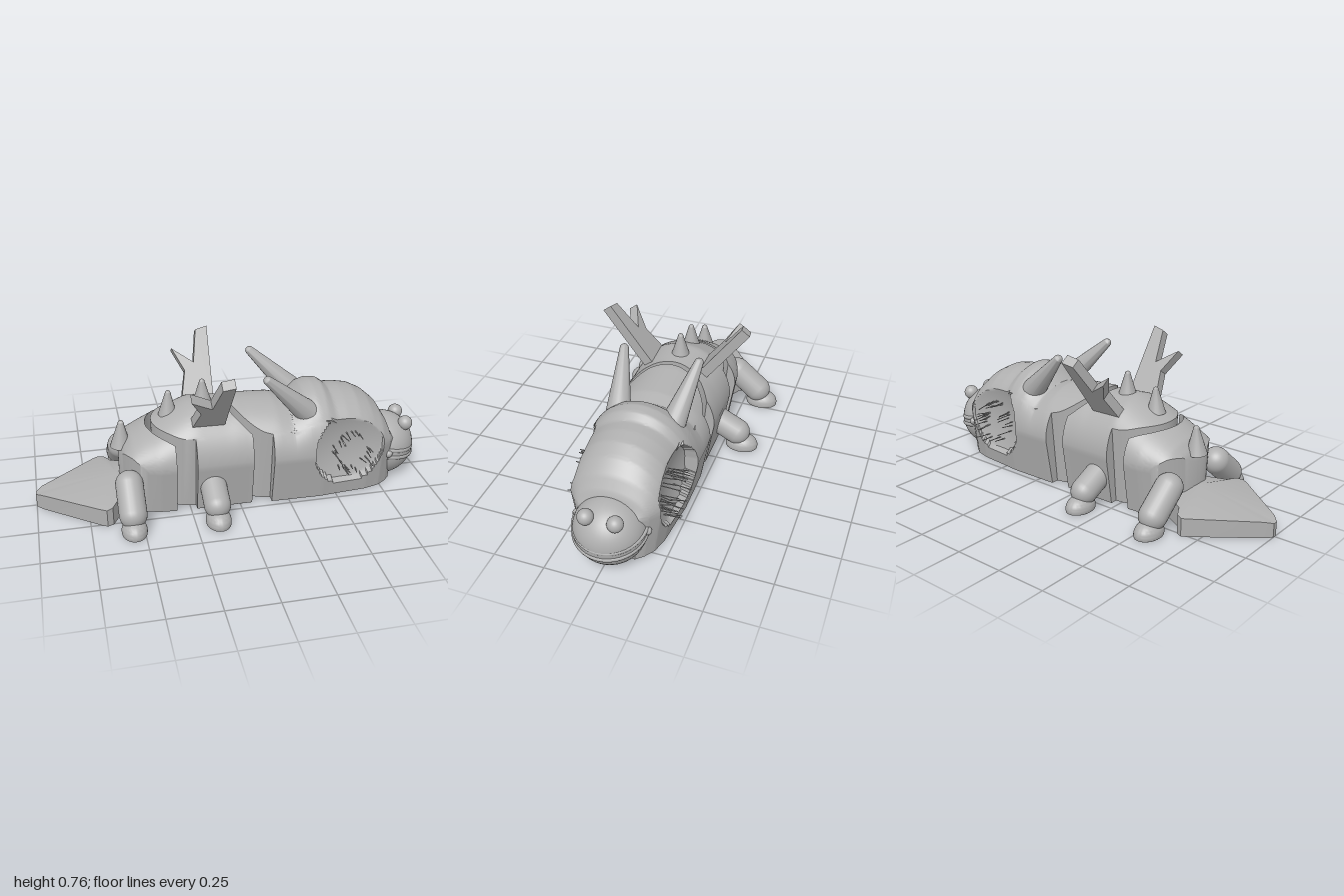
import * as THREE from 'three';
import { toCreasedNormals } from 'three/addons/utils/BufferGeometryUtils.js';

const BASE = 0.004, MID = 0.25, FOOT = 0.84;

// piecewise-linear profile lookup over [x, value] pairs
function lookup(pairs, x) {
  if (x <= pairs[0][0]) return pairs[0][1];
  for (let i = 1; i < pairs.length; i++) {
    const [xa, a] = pairs[i - 1], [xb, b] = pairs[i];
    if (x <= xb) return a + (b - a) * (x - xa) / (xb - xa);
  }
  return pairs[pairs.length - 1][1];
}

// body height and half width along the length
const TOP = [[-0.58, 0.26], [-0.56, 0.31], [-0.52, 0.355], [-0.47, 0.385], [-0.4, 0.42], [-0.34, 0.455],
  [-0.22, 0.51], [-0.06, 0.5], [0, 0.505], [0.2, 0.49], [0.27, 0.47], [0.31, 0.5], [0.35, 0.535], [0.4, 0.553],
  [0.45, 0.548], [0.49, 0.517], [0.55, 0.515], [0.62, 0.502], [0.69, 0.465], [0.75, 0.41], [0.79, 0.345], [0.82, 0.26]];
const WIDTH = [[-0.58, 0.18], [-0.5, 0.21], [-0.4, 0.24], [-0.3, 0.25], [0.05, 0.25], [0.18, 0.265], [0.42, 0.27],
  [0.5, 0.26], [0.66, 0.245], [0.74, 0.22], [0.79, 0.18], [0.82, 0.14]];

// drum-shaped rear end and matching hollow front end of a joint centred at c
const drumEnd = c => z => (z < 0.205 ? c - Math.sqrt(0.21 ** 2 - z * z) : c - 0.02);
const hollowEnd = c => z => Math.min(c - 0.12, c - Math.sqrt(Math.max(0, 0.24 ** 2 - z * z)));

// arched body section: loops over the back, closed by end walls and an underside
function bodySection(x0, x1, cols, scoop) {
  const rows = [], side = 14, arch = 64;
  for (let k = 0; k < side; k++) rows.push([1, k / side, 0]);
  for (let k = 0; k <= arch; k++) {
    const t = Math.PI * k / arch;
    rows.push([Math.cos(t), 1, Math.sin(t)]);
  }
  for (let k = side - 1; k >= 0; k--) rows.push([-1, k / side, 0]);

  const pos = [], index = [], n = cols + 4;
  for (const [u, low, up] of rows) {
    const nominal = Math.abs(u) * 0.25, a = x0(nominal), b = x1(nominal);
    const floor = x => [x, BASE, lookup(WIDTH, x) * u * FOOT];
    pos.push(...floor(a));
    for (let i = 0; i <= cols; i++) {
      const x = a + (b - a) * i / cols;
      const y = BASE + (MID - BASE) * low + (lookup(TOP, x) - MID) * up;
      let z = lookup(WIDTH, x) * u * (FOOT + (1 - FOOT) * low);
      if (scoop) {
        const d = Math.hypot(x - 0.555, y - 0.26) / 0.185;
        if (d < 1) z = Math.sign(z) * Math.min(Math.abs(z), 0.175 + 0.03 * d * d);
      }
      pos.push(x, y, z);
    }
    pos.push(...floor(b), ...floor(a));
  }
  for (let j = 0; j < rows.length - 1; j++) {
    for (let i = 0; i < n - 1; i++) {
      const p = j * n + i, q = p + n;
      index.push(p, p + 1, q, p + 1, q + 1, q);
    }
  }
  const g = new THREE.BufferGeometry();
  g.setAttribute('position', new THREE.Float32BufferAttribute(pos, 3));
  g.setIndex(index);
  return toCreasedNormals(g, 0.6);
}

// flat spade tail: outline wall with a roof rising to the body
function tailGeometry() {
  const half = [[-1, 0.012, 0.07], [-0.97, 0.045, 0.08], [-0.7, 0.25, 0.09], [-0.67, 0.268, 0.09],
    [-0.64, 0.255, 0.095], [-0.61, 0.2, 0.1], [-0.5, 0.14, 0.11]];
  const ring = [...half, ...half.map(([x, z, h]) => [x, -z, h]).reverse()];
  const pos = [];
  ring.forEach(([x, z, h], i) => {
    const [X, Z, H] = ring[(i + 1) % ring.length];
    pos.push(x, 0, z, X, 0, Z, X, H, Z, x, 0, z, X, H, Z, x, h, z);
    pos.push(x, h, z, X, H, Z, -0.6, 0.145, 0);
    pos.push(X, 0, Z, x, 0, z, -0.6, 0, 0);
  });
  const g = new THREE.BufferGeometry();
  g.setAttribute('position', new THREE.Float32BufferAttribute(pos, 3));
  return toCreasedNormals(g, 0.5);
}

// ball whose lower part is flattened on the ground
function groundedBall(x, y, z, rx, ry, rz) {
  const g = new THREE.SphereGeometry(1, 40, 28).scale(rx, ry, rz).translate(x, y, z);
  const p = g.attributes.position;
  for (let i = 0; i < p.count; i++) p.setY(i, Math.max(0, p.getY(i)));
  return toCreasedNormals(g, 0.6);
}

export function createModel() {
  const model = new THREE.Group();
  const grey = new THREE.MeshStandardMaterial({ color: 0xb0b0b0, side: THREE.DoubleSide });
  grey.name = 'grey';
  const add = (name, geometry) => {
    const mesh = new THREE.Mesh(geometry, grey);
    mesh.name = name;
    model.add(mesh);
    return mesh;
  };
  // tapered rod with a round tip
  const spike = (name, from, to, r0, r1) => {
    const a = new THREE.Vector3(...from), b = new THREE.Vector3(...to), dir = b.clone().sub(a);
    const len = dir.length();
    const pts = [new THREE.Vector2(0, 0), new THREE.Vector2(r0, 0)];
    for (let i = 0; i <= 6; i++) {
      const t = i / 6 * Math.PI / 2;
      pts.push(new THREE.Vector2(r1 * Math.cos(t), len + r1 * Math.sin(t)));
    }
    const mesh = add(name, toCreasedNormals(new THREE.LatheGeometry(pts, 24), 0.7));
    mesh.position.copy(a);
    mesh.quaternion.setFromUnitVectors(new THREE.Vector3(0, 1, 0), dir.normalize());
  };

  // jointed body
  const joints = [-0.2, 0.18];
  add('rearBody', bodySection(z => -0.46 - 0.12 * Math.sqrt(Math.max(0, 1 - (z / 0.25) ** 2)), hollowEnd(joints[0]), 14));
  add('middleBody', bodySection(drumEnd(joints[0]), hollowEnd(joints[1]), 16));
  add('frontBodyAndHead', bodySection(drumEnd(joints[1]), () => 0.82, 110, true));
  add('tail', tailGeometry());

  // pivot rings under the joints
  for (const x of joints) for (const r of [0.12, 0.065]) {
    add('pivotRing', new THREE.TorusGeometry(r, 0.004, 6, 40).rotateX(Math.PI / 2).translate(x, 0.004, 0));
  }

  // muzzle with lips
  add('muzzle', groundedBall(0.805, 0.158, 0, 0.172, 0.167, 0.172));
  const lip = (name, y, r, tube) => {
    const pts = [];
    for (let i = 0; i <= 16; i++) {
      const t = (i / 16 - 0.5) * Math.PI * 1.05;
      const c = Math.cos(t);
      pts.push(new THREE.Vector3(0.8 + r * c, y - 0.035 * c, r * Math.sin(t)));
    }
    add(name, new THREE.TubeGeometry(new THREE.CatmullRomCurve3(pts), 48, tube, 10));
  };
  lip('upperLip', 0.188, 0.168, 0.011);
  lip('lowerLip', 0.15, 0.166, 0.013);

  // back spikes
  spike('backSpike', [-0.15, 0.49, 0], [-0.15, 0.6, 0], 0.047, 0.014);
  spike('backSpike', [-0.325, 0.44, 0], [-0.32, 0.555, 0], 0.047, 0.014);
  spike('rearSpike', [-0.565, 0.29, 0], [-0.558, 0.415, 0], 0.052, 0.015);

  // notched wing outline: x along the body, y up the slope
  const wingShape = new THREE.Shape([[-0.235, 0], [-0.2, 0.16], [-0.255, 0.28], [-0.15, 0.2], [-0.12, 0.37],
    [-0.06, 0.385], [-0.07, 0]].map(p => new THREE.Vector2(...p)));

  let seed = 7;
  const rand = () => (seed = (seed * 16807) % 2147483647) / 2147483647;

  for (const s of [1, -1]) {
    add('eye', new THREE.SphereGeometry(0.038, 24, 16).translate(0.91, 0.29, 0.07 * s));
    add('mouthCorner', new THREE.SphereGeometry(0.02, 16, 12).translate(0.79, 0.175, 0.172 * s));
    spike('horn', [0.36, 0.44, 0.135 * s], [0.135, 0.662, 0.188 * s], 0.062, 0.022);

    const wing = add('wing', new THREE.ExtrudeGeometry(wingShape, { depth: 0.05, bevelEnabled: false }).translate(0, 0, -0.025));
    wing.position.set(0, 0.43, 0.13 * s);
    wing.rotation.x = 0.63 * s;

    // legs and feet
    for (const [x, y, r] of [[-0.55, 0.185, 0.068], [-0.14, 0.145, 0.066]]) {
      const a = new THREE.Vector3(x, y, 0.2 * s), b = new THREE.Vector3(x, 0.085, 0.32 * s);
      const dir = b.clone().sub(a);
      const leg = add('leg', new THREE.CapsuleGeometry(r, dir.length(), 10, 24));
      leg.position.copy(a).add(b).multiplyScalar(0.5);
      leg.quaternion.setFromUnitVectors(new THREE.Vector3(0, 1, 0), dir.normalize());
      add('foot', groundedBall(x, 0.015, 0.347 * s, 0.062, 0.06, 0.085));
    }

    // fine bristles inside the side hollows
    for (let i = 0; i < 28; i++) {
      const t = rand() * Math.PI * 2, k = 0.75 + 0.3 * rand(), len = 0.05 + 0.05 * rand();
      const hair = add('bristle', new THREE.BoxGeometry(0.004, 0.003, len));
      hair.position.set(0.575 + 0.095 * k * Math.cos(t), 0.235 + 0.11 * k * Math.sin(t), s * (0.18 + len / 2));
      hair.rotation.set((rand() - 0.5) * 0.3, (rand() - 0.5) * 0.3, 0);
    }
  }
  return model;
}
